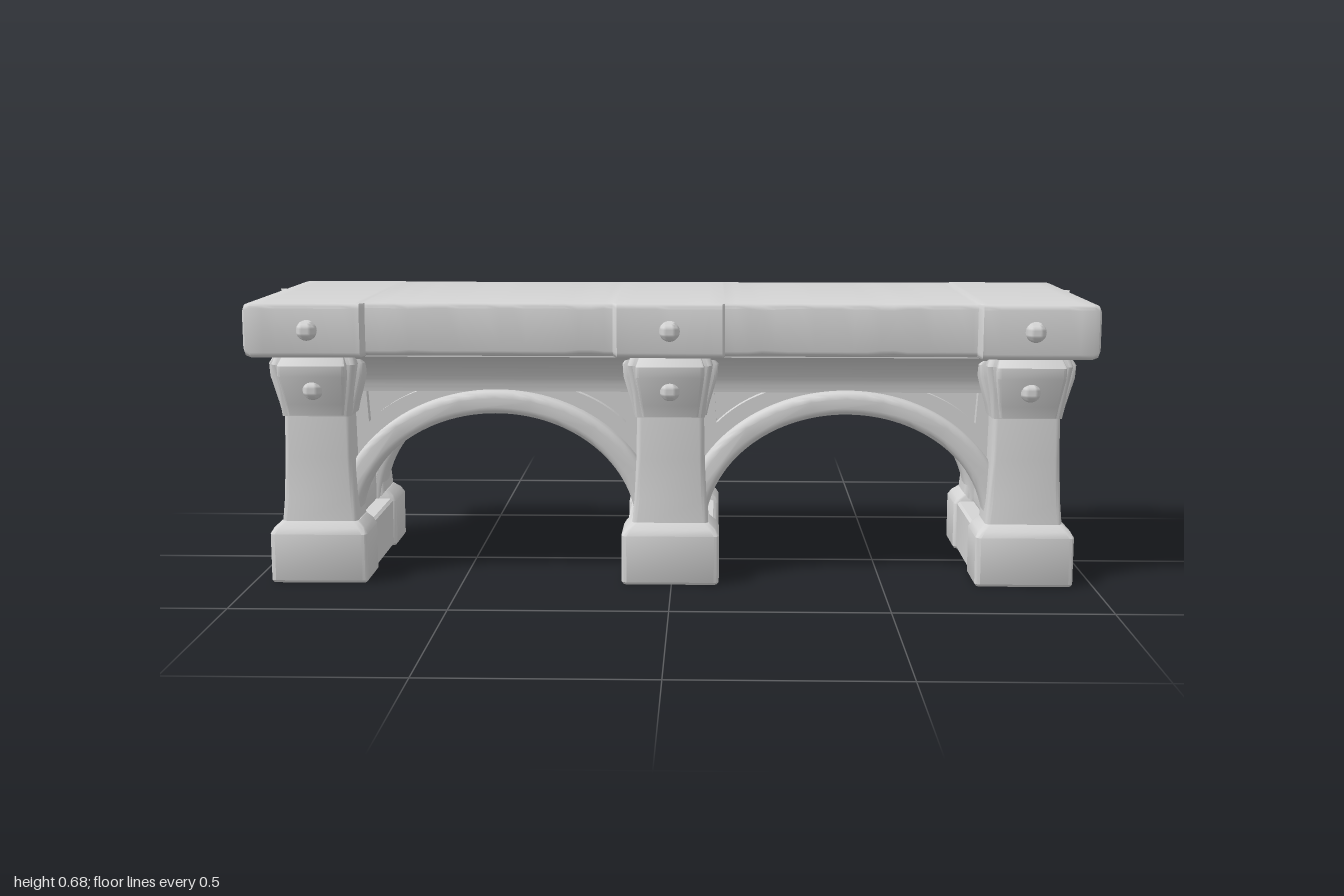
import * as THREE from 'three';
import { toCreasedNormals } from 'three/addons/utils/BufferGeometryUtils.js';

const stone = new THREE.MeshStandardMaterial({ color: 0xd4d4d4 });
stone.name = 'stone';

const PILLARS = [-0.842, -0.003, 0.836];
const ARCHES = [-0.422, 0.416];

function add(parent, name, geometry, crease = 0.6) {
  const mesh = new THREE.Mesh(toCreasedNormals(geometry, crease), stone);
  mesh.name = name;
  parent.add(mesh);
  return mesh;
}

// Stack of rounded rectangles: each level is [y, x0, x1, z0, z1, cornerRadius]
function loft(levels) {
  const pos = [], idx = [], n = 16;
  for (const [y, x0, x1, z0, z1, r] of levels) {
    const corners = [[x1 - r, z1 - r], [x1 - r, z0 + r], [x0 + r, z0 + r], [x0 + r, z1 - r]];
    corners.forEach(([cx, cz], q) => {
      for (let i = 0; i < 4; i++) {
        const a = (q - 1 + i / 3) * Math.PI / 2;
        pos.push(cx + r * Math.cos(a), y, cz - r * Math.sin(a));
      }
    });
  }
  for (let i = 0; i < levels.length - 1; i++) {
    for (let k = 0; k < n; k++) {
      const a = i * n + k, b = i * n + (k + 1) % n;
      idx.push(a, b, b + n, a, b + n, a + n);
    }
  }
  const top = (levels.length - 1) * n;
  for (let k = 1; k < n - 1; k++) {
    idx.push(0, k + 1, k, top, top + k, top + k + 1);
  }
  const g = new THREE.BufferGeometry();
  g.setAttribute('position', new THREE.Float32BufferAttribute(pos, 3));
  g.setIndex(idx);
  return g;
}

// Straight block with softened top and bottom edges
function block(x0, x1, y0, y1, z0, z1, r) {
  return loft([
    [y0, x0 + r, x1 - r, z0 + r, z1 - r, r], [y0 + r, x0, x1, z0, z1, r],
    [y1 - r, x0, x1, z0, z1, r], [y1, x0 + r, x1 - r, z0 + r, z1 - r, r]]);
}

function extrude(shape, depth, bevel = 0) {
  return new THREE.ExtrudeGeometry(shape, {
    depth, curveSegments: 28, bevelEnabled: bevel > 0,
    bevelSize: bevel, bevelThickness: bevel, bevelOffset: -bevel, bevelSegments: 3 });
}

// Wall outline with both arch openings cut from its lower edge
function arcadeShape() {
  const s = new THREE.Shape(), rx = 0.36;
  s.moveTo(-0.88, 0.1);
  for (const cx of ARCHES) {
    s.lineTo(cx - rx, 0.1);
    s.absellipse(cx, 0.12, rx, 0.3, Math.PI, 0, true);
    s.lineTo(cx + rx, 0.1);
  }
  s.lineTo(0.874, 0.1);
  s.lineTo(0.874, 0.555);
  s.lineTo(-0.88, 0.555);
  s.closePath();
  return s;
}

// Concave moulding under the slab, running along its local z
function cove(length, reach) {
  const s = new THREE.Shape();
  s.moveTo(-0.02, 0.45);
  s.lineTo(0, 0.45);
  s.quadraticCurveTo(0.01, 0.53, reach, 0.545);
  s.lineTo(reach, 0.56);
  s.lineTo(-0.02, 0.56);
  s.closePath();
  return extrude(s, length).translate(0, 0, -length / 2);
}

// Worn slab: end and centre blocks stand proud of the two spans
function slab() {
  const stations = [];
  for (let i = 0; i <= 64; i++) stations.push(-0.975 + 1.945 * i / 64);
  const seams = [-0.715, -0.13, 0.12, 0.712];
  for (const s of seams) stations.push(s - 0.005, s + 0.005);
  stations.sort((a, b) => a - b);
  const chips = [[-0.6, 0.004], [-0.2, 0.007], [0.22, 0.005], [0.5, 0.007]];
  const level = (x, inset) => {
    const end = x < seams[0] || x > seams[3], mid = x > seams[1] && x < seams[2];
    const wave = 0.0015 * Math.sin(x * 17);
    let r = 0.013;
    for (const [p, d] of chips) r += d * Math.max(0, 1 - Math.abs(x - p) / 0.03);
    const front = (end ? 0.31 : mid ? 0.302 : 0.291) + wave;
    const back = (end ? 0.319 : mid ? 0.311 : 0.304) + wave;
    const y0 = end || mid ? 0.547 : 0.55;
    return [x, -0.675 + inset, -y0 - inset, -back + inset, front - inset, r];
  };
  return loft([
    level(-0.994, 0.014), level(-0.988, 0.004),
    ...stations.map((x) => level(x, 0)),
    level(0.982, 0.004), level(0.988, 0.014)]).rotateZ(-Math.PI / 2);
}

function rivet(parent, x, y, z) {
  const g = new THREE.SphereGeometry(0.024, 20, 14);
  add(parent, 'rivet', g, 1).position.set(x, y, z);
}

// Half pillar on the front side, centred on x = 0
function halfPillar() {
  const p = new THREE.Group();
  p.name = 'pillar';
  add(p, 'base', loft([
    [0, -0.112, 0.112, 0.124, 0.262, 0.01], [0.006, -0.116, 0.116, 0.12, 0.266, 0.012],
    [0.118, -0.116, 0.116, 0.12, 0.266, 0.012], [0.132, -0.108, 0.108, 0.122, 0.258, 0.014],
    [0.146, -0.092, 0.092, 0.125, 0.242, 0.014]]));
  add(p, 'shaft', loft([
    [0.13, -0.092, 0.092, 0.122, 0.242, 0.012], [0.2, -0.086, 0.086, 0.123, 0.236, 0.012],
    [0.3, -0.081, 0.081, 0.124, 0.236, 0.012], [0.41, -0.079, 0.079, 0.124, 0.234, 0.012]]));
  add(p, 'capitalCore', loft([
    [0.4, -0.082, 0.082, 0.117, 0.242, 0.01], [0.46, -0.089, 0.089, 0.112, 0.25, 0.01],
    [0.525, -0.1, 0.1, 0.105, 0.262, 0.012], [0.555, -0.09, 0.09, 0.11, 0.25, 0.012]]));
  // Flared brackets on the front and on both sides
  add(p, 'frontBracket', loft([
    [0.403, -0.066, 0.066, 0.15, 0.25, 0.006], [0.43, -0.07, 0.07, 0.15, 0.256, 0.006],
    [0.5, -0.08, 0.08, 0.15, 0.286, 0.008], [0.525, -0.08, 0.08, 0.15, 0.287, 0.008],
    [0.552, -0.07, 0.07, 0.15, 0.255, 0.008]]));
  add(p, 'sideBrackets', loft([
    [0.403, -0.086, 0.086, 0.13, 0.222, 0.006], [0.43, -0.092, 0.092, 0.127, 0.224, 0.006],
    [0.495, -0.111, 0.111, 0.122, 0.228, 0.008], [0.525, -0.113, 0.113, 0.122, 0.228, 0.008],
    [0.552, -0.095, 0.095, 0.125, 0.225, 0.008]]));
  rivet(p, 0, 0.467, 0.266);
  return p;
}

// Moulded arch rim, made of an elliptical band
function archRim() {
  const s = new THREE.Shape();
  s.moveTo(-0.395, 0.11);
  s.absellipse(0, 0.12, 0.395, 0.335, Math.PI, 0, true);
  s.lineTo(0.395, 0.11);
  s.lineTo(0.336, 0.11);
  s.absellipse(0, 0.12, 0.336, 0.28, 0, Math.PI, false);
  s.lineTo(-0.336, 0.11);
  s.closePath();
  return extrude(s, 0.05, 0.016).translate(0, 0, 0.136);
}

// Front or back face of the arcade: pillars, rims, recessed spandrels, moulding
function face() {
  const f = new THREE.Group();
  for (const x of PILLARS) {
    const p = halfPillar();
    p.position.x = x;
    f.add(p);
    rivet(f, x, 0.612, 0.311);
  }
  for (const cx of ARCHES) add(f, 'archRim', archRim()).position.x = cx;
  add(f, 'spandrelBack', extrude(arcadeShape(), 0.022).translate(0, 0, 0.118));
  const plate = arcadeShape();
  for (const cx of ARCHES) {
    for (const s of [-1, 1]) {
      const hole = new THREE.Path();
      hole.moveTo(cx + s * 0.315, 0.455);
      hole.lineTo(cx + s * 0.19, 0.45);
      hole.quadraticCurveTo(cx + s * 0.26, 0.425, cx + s * 0.31, 0.375);
      hole.closePath();
      plate.holes.push(hole);
    }
  }
  add(f, 'spandrel', extrude(plate, 0.025).translate(0, 0, 0.14));
  add(f, 'cove', cove(1.7, 0.095).rotateY(-Math.PI / 2).translate(0, 0, 0.165));
  return f;
}

// Wall dressing between two half pillars, facing +x: framed recess and moulding
function wallFace() {
  const e = new THREE.Group();
  e.name = 'wallFace';
  const rect = (x, y0, y1) => [[-x, y0], [x, y0], [x, y1], [-x, y1]]
    .map(([u, v]) => new THREE.Vector2(u, v));
  const s = new THREE.Shape(rect(0.126, 0.12, 0.55));
  s.holes.push(new THREE.Path(rect(0.066, 0.186, 0.394)));
  add(e, 'panelFrame', extrude(s, 0.016, 0.012).rotateY(Math.PI / 2).translate(0.04, 0, 0));
  add(e, 'wallCove', cove(0.25, 0.06).translate(0.067, 0, 0));
  return e;
}

export function createModel() {
  const model = new THREE.Group();
  model.name = 'stoneArcadeBench';
  add(model, 'slab', slab());
  // Worn ridges on the slab ends
  for (const x of [-0.987, 0.981]) {
    add(model, 'endRidge', block(x - 0.012, x + 0.012, 0.552, 0.674, -0.1, -0.07, 0.01));
  }
  // Walls and footings joining the front and back half of each pillar
  for (const x of PILLARS) {
    add(model, 'crossBase', block(x - 0.108, x + 0.108, 0, 0.125, -0.13, 0.13, 0.006));
    add(model, 'wall', new THREE.BoxGeometry(0.1, 0.45, 0.27)).position.set(x, 0.33, 0);
    for (const turn of [0, Math.PI]) {
      const w = wallFace();
      w.rotation.y = turn;
      w.position.x = x;
      model.add(w);
    }
  }
  for (const [name, turn] of [['frontFace', 0], ['backFace', Math.PI]]) {
    const f = face();
    f.name = name;
    f.rotation.y = turn;
    f.position.set(turn ? -0.006 : 0, 0, turn ? -0.002 : 0);
    model.add(f);
  }
  return model;
}
